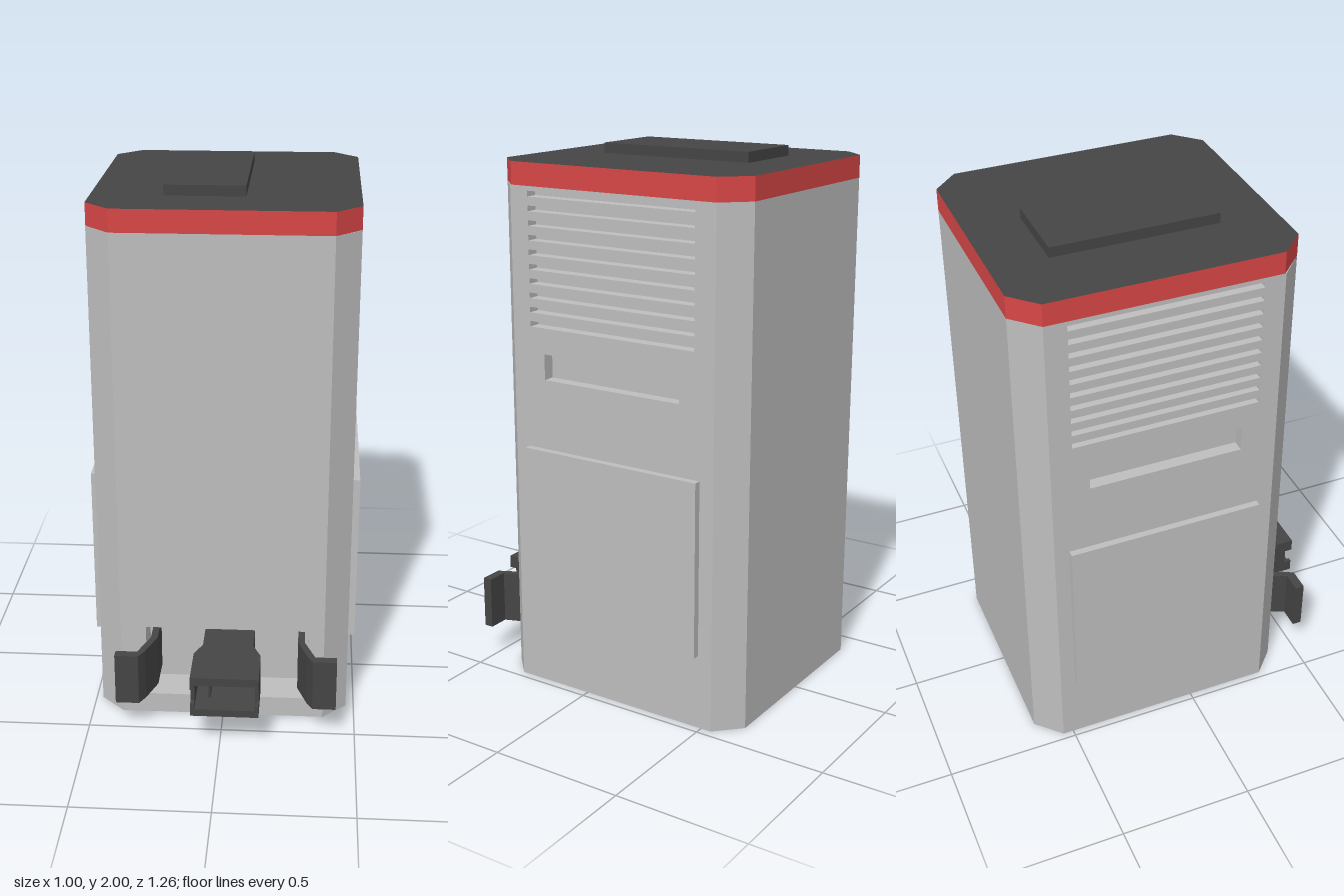
import * as THREE from 'three';

const mat = (name, color) => {
  const m = new THREE.MeshStandardMaterial({ color });
  m.name = name;
  return m;
};

export function createModel() {
  const grey = mat('casing grey', 0xbebebe);
  const dark = mat('dark plastic', 0x454545);
  const red = mat('red band', 0xd84646);
  const model = new THREE.Group();
  model.name = 'batteryCabinet';

  const add = (name, geometry, material, parent = model) => {
    const mesh = new THREE.Mesh(geometry, material);
    mesh.name = name;
    parent.add(mesh);
    return mesh;
  };
  const box = (name, x0, x1, y0, y1, z0, z1, material, parent) =>
    add(name, new THREE.BoxGeometry(x1 - x0, y1 - y0, z1 - z0)
      .translate((x0 + x1) / 2, (y0 + y1) / 2, (z0 + z1) / 2), material, parent);

  // Prism from a plan outline of [x, z] points between two heights
  const prism = (pts, y0, y1) => {
    const shape = new THREE.Shape(pts.map(([x, z]) => new THREE.Vector2(x, -z)));
    return new THREE.ExtrudeGeometry(shape, { depth: y1 - y0, bevelEnabled: false })
      .rotateX(-Math.PI / 2).translate(0, y0, 0);
  };
  const rectPoints = (u0, u1, v0, v1) =>
    [[u0, v0], [u1, v0], [u1, v1], [u0, v1]].map(([u, v]) => new THREE.Vector2(u, v));
  // Flat wall with rectangular openings
  const wall = (rect, holes, depth) => {
    const shape = new THREE.Shape(rectPoints(...rect));
    holes.forEach(h => shape.holes.push(new THREE.Path(rectPoints(...h))));
    return new THREE.ExtrudeGeometry(shape, { depth, bevelEnabled: false });
  };

  const xl = -0.475, xr = 0.47, zb = -0.63, zf = 0.39, c = 0.09;
  const h = 1.88, side = 0.045, front = 0.14;

  // Casing core, set back where the side and front walls sit
  add('casingCore', prism([
    [xl + c, zf], [xl + c, zf - front], [xr - c, zf - front], [xr - c, zf],
    [xr, zf - c + 0.005], [xr - side, zf - c + 0.005], [xr - side, zb + c], [xr, zb + c],
    [xr - c, zb], [xl + c, zb],
    [xl, zb + c], [xl + side, zb + c], [xl + side, zf - c + 0.005], [xl, zf - c + 0.005],
  ], 0, h), grey);

  // Front wall with the connector bay
  add('frontWall', wall([xl + c, xr - c, 0, h], [[-0.29, 0.32, 0.08, 0.37]], front)
    .translate(0, 0, zf - front), grey);

  // Side walls with vents and hand grip, and raised side panels
  for (const s of [1, -1]) {
    const span = (z0, z1, y0, y1) => s > 0 ? [-z1, -z0, y0, y1] : [z0, z1, y0, y1];
    const holes = [span(-0.40, 0.17, 1.19, 1.285)];
    for (let i = 0; i < 10; i++) {
      const y = 1.39 + i * 0.0515;
      holes.push(span(-0.46, 0.23, y - 0.01, y + 0.01));
    }
    const label = s > 0 ? 'left' : 'right';
    const inner = s > 0 ? xr - side : xl + side;
    add(label + 'Wall', wall(span(zb + c, zf - c + 0.005, 0, h), holes, side)
      .rotateY(s * Math.PI / 2).translate(inner, 0, 0), grey);
    const a = s > 0 ? xr - 0.01 : -0.5, b = s > 0 ? 0.497 : xl + 0.01;
    box(label + 'Panel', a, b, 0.28, 0.93, -0.485, 0.245, grey);
  }

  // Red band with dark lid face, and the raised lid plate
  add('topBand', prism([
    [xl + c, zf], [xr - c, zf], [xr, zf - c], [xr, zb + c],
    [xr - c, zb], [xl + c, zb], [xl, zb + c], [xl, zf - c],
  ], h, 1.962), [dark, red]);
  box('lidPlate', -0.218, 0.07, 1.955, 2, -0.425, 0.182, dark);

  // Bent latch arms, mirrored about the connector
  const arm = [
    [-0.272, 0.25], [-0.272, 0.39], [-0.312, 0.495], [-0.392, 0.495],
    [-0.392, 0.53], [-0.305, 0.53], [-0.283, 0.49], [-0.247, 0.39], [-0.247, 0.25],
  ];
  add('rightLatch', prism(arm, 0.125, 0.325), dark);
  add('leftLatch', prism(arm.map(([x, z]) => [0.035 - x, z]).reverse(), 0.125, 0.325), dark);

  // Connector plug: neck, two jaws, lips and cheeks
  const plug = new THREE.Group();
  plug.name = 'connector';
  model.add(plug);
  const neck = [[-0.075, 0.25], [-0.075, 0.39], [-0.105, 0.46]];
  const mirrored = neck.map(([x, z]) => [0.04 - x, z]).reverse();
  add('connectorNeck', prism([...neck, ...mirrored], 0.17, 0.27), dark, plug);
  const jaw = [...neck, [-0.105, 0.627], [0.145, 0.627], ...mirrored];
  add('lowerJaw', prism(jaw, 0.142, 0.17), dark, plug);
  add('upperJaw', prism(jaw, 0.27, 0.302), dark, plug);
  for (const x of [-0.105, 0.13]) {
    box('cheek', x, x + 0.015, 0.17, 0.27, 0.46, 0.598, dark, plug);
    box('lowerLip', x, x + 0.015, 0.17, 0.19, 0.598, 0.627, dark, plug);
    box('upperLip', x, x + 0.015, 0.252, 0.27, 0.598, 0.627, dark, plug);
  }
  box('contactPin', -0.043, -0.033, 0.19, 0.25, 0.45, 0.58, dark, plug);

  return model;
}
